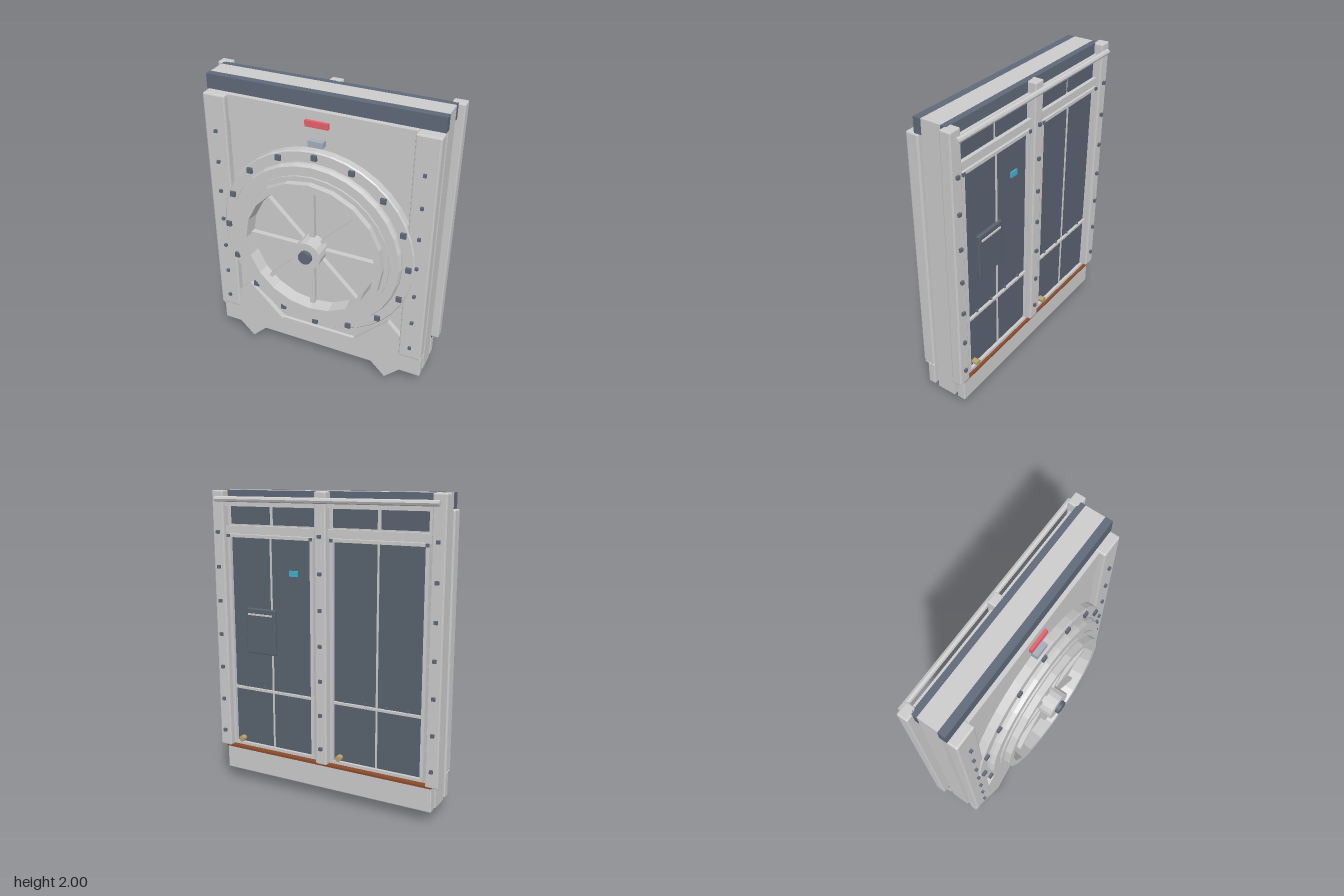
import * as THREE from 'three';
import { RoundedBoxGeometry } from 'three/addons/geometries/RoundedBoxGeometry.js';

const paint = (color) => new THREE.MeshStandardMaterial({ color, flatShading: true });

export function createModel() {
  const model = new THREE.Group();
  const grey = paint(0xcccccc), dark = paint(0x5f6978), panel = paint(0x59626f);
  const red = paint(0xe8606a), blue = paint(0x3fb0cc), rust = paint(0x8a4a2a), brass = paint(0xb8a070);

  const add = (name, geometry, material, x = 0, y = 0, z = 0) => {
    const mesh = new THREE.Mesh(geometry, material);
    mesh.name = name;
    mesh.position.set(x, y, z);
    model.add(mesh);
    return mesh;
  };
  // Box given by its limits on each axis, with an optional bevel
  const box = (name, [x0, x1], [y0, y1], [z0, z1], material = grey, bevel = 0) => {
    const size = [x1 - x0, y1 - y0, z1 - z0];
    const geometry = bevel ? new RoundedBoxGeometry(...size, 1, bevel) : new THREE.BoxGeometry(...size);
    return add(name, geometry, material, (x0 + x1) / 2, (y0 + y1) / 2, (z0 + z1) / 2);
  };
  const cube = (name, x, y, z, w, d, material = dark) =>
    add(name, new THREE.BoxGeometry(w, w, d), material, x, y, z);
  // Turned part whose axis points to the front; profile is [radius, z]
  const turned = (name, profile, sides, y, material = grey) => {
    const geometry = new THREE.LatheGeometry(profile.map(([r, z]) => new THREE.Vector2(r, z)), sides);
    return add(name, geometry.rotateX(Math.PI / 2), material, 0, y, 0);
  };

  // Core slab and the dark beams along its top
  box('core', [-0.765, 0.765], [0.08, 2], [-0.145, -0.012]);
  box('topBeamFront', [-0.768, 0.768], [1.905, 2], [-0.012, 0.037], dark);
  box('topBeamBack', [-0.768, 0.768], [1.905, 2], [-0.185, -0.145], dark);

  // Front frame
  box('frontPlate', [-0.615, 0.615], [0.25, 1.72], [0.015, 0.052]);
  box('headerPanel', [-0.615, 0.615], [1.722, 1.9], [0.015, 0.062]);
  box('frontSill', [-0.765, 0.765], [0.08, 0.25], [0.018, 0.07], grey, 0.006);
  box('indicator', [-0.078, 0.075], [1.8, 1.84], [0.06, 0.082], red);
  box('hoodBracket', [-0.05, 0.05], [1.68, 1.72], [0.05, 0.1], paint(0xa4aebb));
  for (const s of [-1, 1]) {
    const inner = s * 0.612, outer = s * 0.767;
    box('frontColumn', [Math.min(inner, outer), Math.max(inner, outer)], [0.25, 1.9], [0.015, 0.1], grey, 0.01);
    for (let i = 0; i < 7; i++) cube('columnRivet', s * 0.688, 0.345 + i * 0.2185, 0.105, 0.02, 0.022);
    const foot = add('foot', new THREE.BoxGeometry(0.351, 0.351, 0.076), grey, s * 0.519, 0.248, 0.052);
    foot.rotation.z = Math.PI / 4;
  }

  // Stepped round cover with a recessed centre
  const cy = 0.98;
  turned('coverFlange', [[0.675, 0.03], [0.675, 0.1], [0.668, 0.108], [0.58, 0.108]], 40, cy);
  turned('coverStep', [[0.6, 0.1], [0.6, 0.13], [0.59, 0.155], [0.53, 0.155], [0.53, 0.167], [0.47, 0.167]], 32, cy);
  turned('coverRim', [[0.5, 0.15], [0.5, 0.21], [0.452, 0.21], [0.44, 0.125], [0, 0.125]], 20, cy);
  turned('hub', [[0.098, 0.12], [0.098, 0.246], [0, 0.246]], 16, cy);
  turned('shaft', [[0.045, 0.24], [0.045, 0.272], [0, 0.272]], 16, cy, dark);
  for (let i = 0; i < 8; i++) {
    const a = i * Math.PI / 4, w = i % 2 ? 0.024 : 0.034;
    const spoke = add('spoke', new THREE.BoxGeometry(0.36, w, 0.04), grey,
      0.265 * Math.cos(a), cy + 0.265 * Math.sin(a), 0.14);
    spoke.rotation.z = a;
  }
  for (let i = 0; i < 16; i++) {
    const a = i * Math.PI / 8;
    cube('coverBolt', 0.64 * Math.cos(a), cy + 0.64 * Math.sin(a), 0.112, 0.036, 0.026);
  }

  // Back frame: posts, rails, sill
  for (const [x, w] of [[-0.768, 0.043], [0, 0.04], [0.768, 0.043]]) {
    box('backPost', [x - w, x + w], [0.25, 2], [-0.242, -0.17], grey, 0.008);
    for (let i = 0; i < 7; i++) cube('postRivet', x, 0.36 + i * 0.2285, -0.246, 0.022, 0.022);
  }
  box('backSheet', [-0.73, 0.73], [0.25, 1.93], [-0.19, -0.17]);
  box('backSill', [-0.765, 0.765], [0.08, 0.242], [-0.226, -0.168], grey, 0.006);
  box('rustStrip', [-0.766, 0.766], [0.24, 0.254], [-0.234, -0.17], rust);
  const rail = add('topRail', new THREE.CylinderGeometry(0.018, 0.018, 1.55, 8), grey, 0, 1.945, -0.254);
  rail.rotation.z = Math.PI / 2;

  // Back doors and the windows above them
  for (const s of [-1, 1]) {
    const span = (a, b) => (s > 0 ? [a, b] : [-b, -a]);
    box('windowHeadRail', span(0.04, 0.73), [1.9, 1.93], [-0.222, -0.185]);
    box('transom', span(0.04, 0.73), [1.725, 1.775], [-0.215, -0.185]);
    for (const x of [0.07, 0.395]) box('window', span(x, x + 0.295), [1.785, 1.897], [-0.202, -0.188], panel);
    box('doorPanel', span(0.075, 0.69), [0.28, 1.71], [-0.205, -0.188], panel);
    for (const y of [0.27, 1.7]) box('doorRail', span(0.065, 0.7), [y, y + 0.02], [-0.226, -0.19]);
    for (const x of [0.06, 0.685]) box('doorStile', span(x, x + 0.022), [0.27, 1.72], [-0.226, -0.19]);
    box('doorMullion', span(0.376, 0.388), [0.28, 1.71], [-0.211, -0.2]);
    box('doorCrossbar', span(0.075, 0.69), [0.674, 0.69], [-0.222, -0.2]);
    for (let i = 0; i < 4; i++) cube('crossbarBolt', s * (0.16 + i * 0.145), 0.7, -0.21, 0.014, 0.014);
    for (const x of [0.072, 0.697]) cube('cornerBolt', s * x, 1.71, -0.229, 0.02, 0.014);
  }
  box('hatch', [0.35, 0.575], [0.935, 1.24], [-0.226, -0.2], panel, 0.006);
  box('hatchHandle', [0.37, 0.555], [1.195, 1.206], [-0.233, -0.222]);
  box('tag', [0.18, 0.24], [1.468, 1.505], [-0.215, -0.2], blue);
  for (const x of [0.635, -0.125]) {
    const valve = add('drainValve', new THREE.CylinderGeometry(0.02, 0.02, 0.04, 10), brass, x, 0.315, -0.225);
    valve.rotation.x = Math.PI / 2;
  }
  return model;
}
